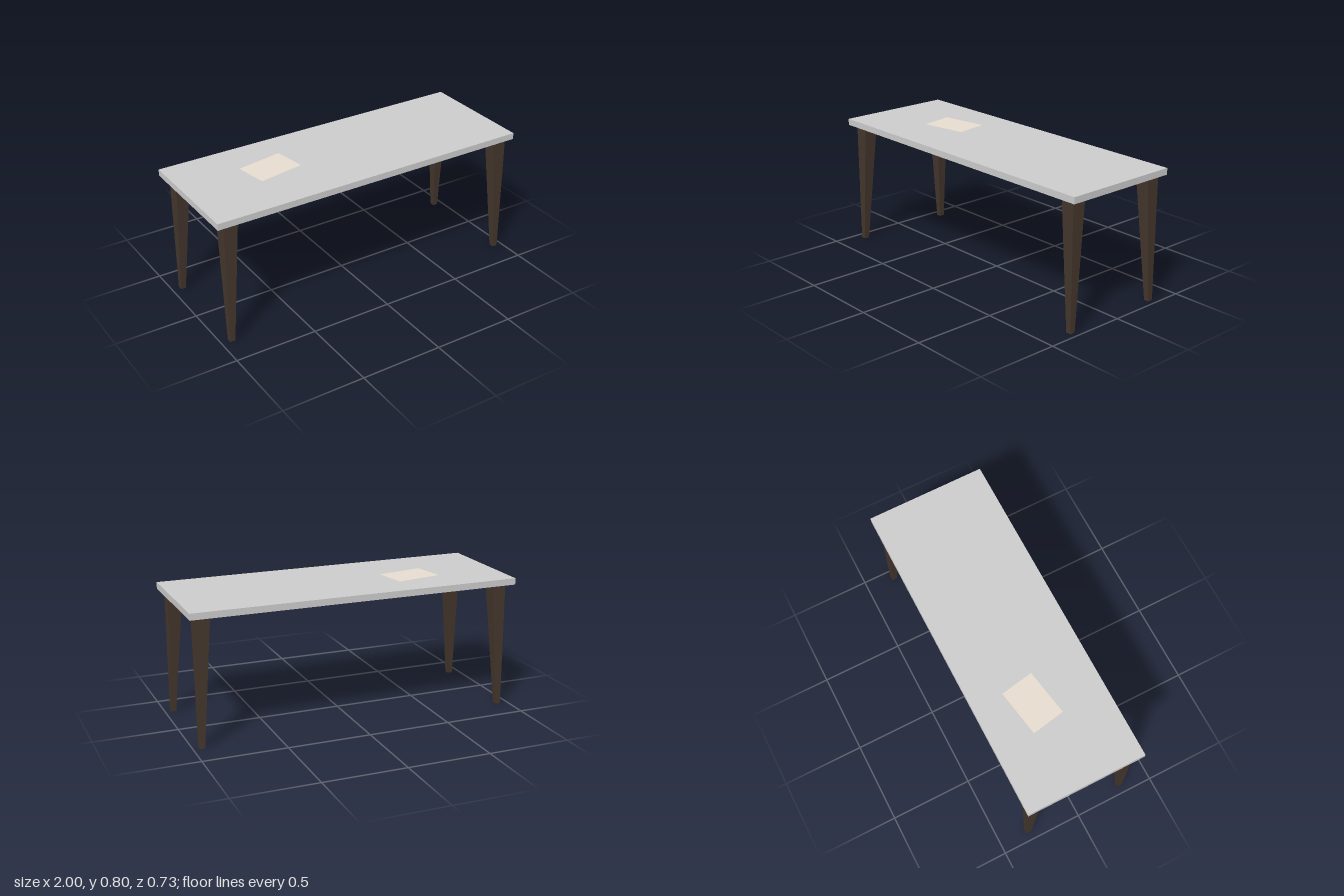
import * as THREE from 'three';

const TOP_Y = 0.797, LEG_H = 0.758;

// Leg tapering towards its outer corner, whose two outer faces stay vertical
function makeLeg(sx, sz, material) {
  const geometry = new THREE.BoxGeometry(1, LEG_H, 1);
  geometry.translate(0, LEG_H / 2, 0);
  const p = geometry.attributes.position;
  for (let i = 0; i < p.count; i++) {
    const top = p.getY(i) > LEG_H / 2;
    const wx = top ? 0.086 : 0.031;
    const wz = top ? 0.087 : 0.033;
    p.setX(i, p.getX(i) * sx > 0 ? 0 : -sx * wx);
    p.setZ(i, p.getZ(i) * sz > 0 ? 0 : -sz * wz);
  }
  geometry.computeVertexNormals();
  return new THREE.Mesh(geometry, material);
}

export function createModel() {
  const table = new THREE.Group();
  table.name = 'table';
  const grey = new THREE.MeshStandardMaterial({ color: 0xcccccc });
  const wood = new THREE.MeshStandardMaterial({ color: 0x43362c });
  const paper = new THREE.MeshStandardMaterial({ color: 0xe6dccf, side: THREE.DoubleSide });

  // Slab
  const tabletop = new THREE.Mesh(new THREE.BoxGeometry(2, TOP_Y - LEG_H, 0.726), grey);
  tabletop.name = 'tabletop';
  tabletop.position.y = (TOP_Y + LEG_H) / 2;
  table.add(tabletop);

  // Four legs, set slightly off centre along x
  for (const sx of [-1, 1]) {
    for (const sz of [-1, 1]) {
      const leg = makeLeg(sx, sz, wood);
      leg.name = (sz > 0 ? 'front' : 'back') + (sx > 0 ? 'Left' : 'Right') + 'Leg';
      leg.position.set(sx > 0 ? 0.964 : -0.951, 0, sz * 0.332);
      table.add(leg);
    }
  }

  // Sheet of paper lying at an angle
  const sheetGeometry = new THREE.PlaneGeometry(0.287, 0.203);
  sheetGeometry.rotateX(-Math.PI / 2);
  const sheet = new THREE.Mesh(sheetGeometry, paper);
  sheet.name = 'paperSheet';
  sheet.position.set(-0.451, TOP_Y + 0.001, -0.047);
  sheet.rotation.y = THREE.MathUtils.degToRad(10);
  table.add(sheet);

  return table;
}
